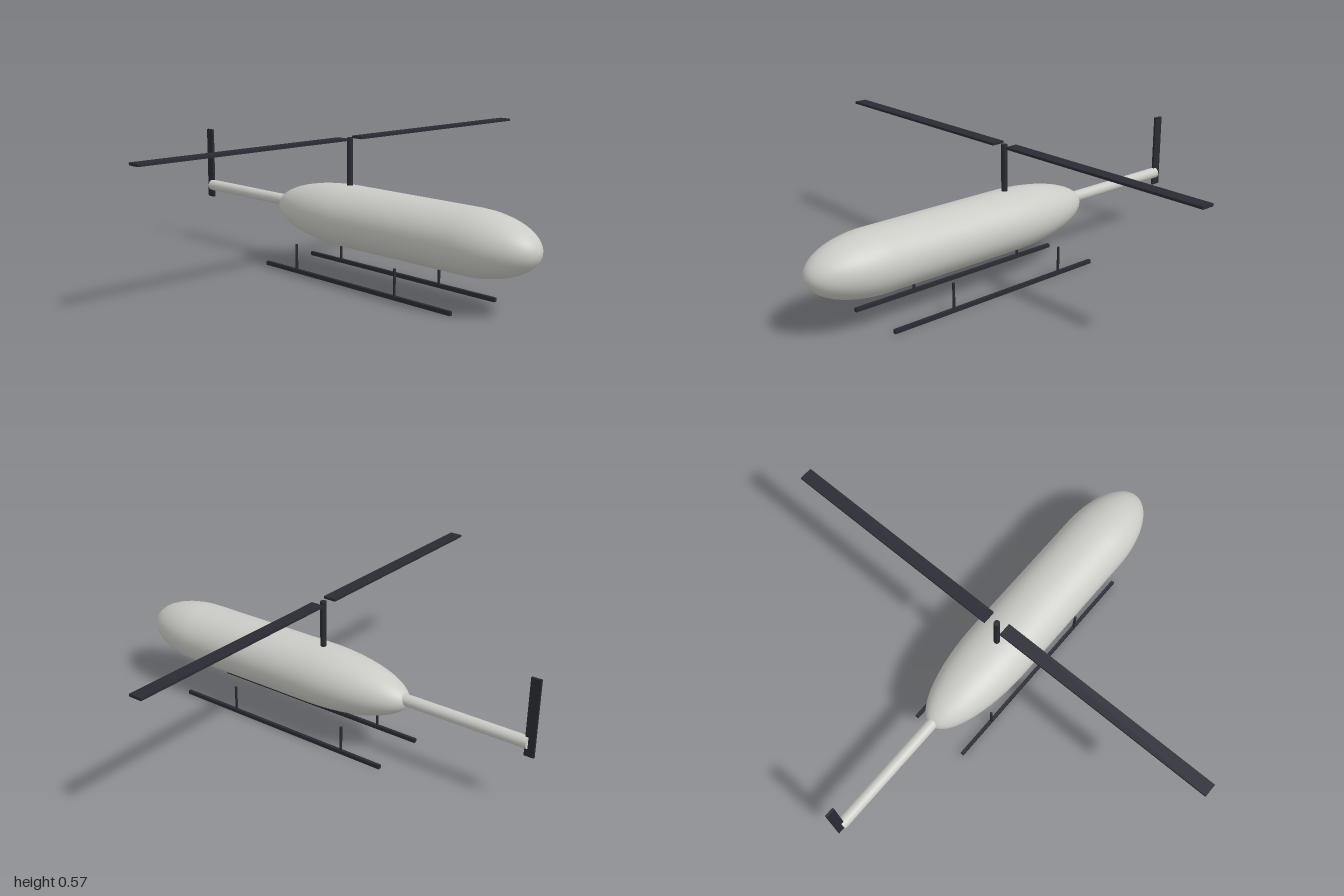
import * as THREE from 'three';

const lightGrey = new THREE.MeshStandardMaterial({ color: 0xcbcbc6 });
lightGrey.name = 'light grey paint';
const darkGrey = new THREE.MeshStandardMaterial({ color: 0x2a2a34 });
darkGrey.name = 'dark grey';

export function createModel() {
  const model = new THREE.Group();
  model.name = 'helicopter';

  const add = (name, geometry, material, x, y, z, parent = model) => {
    const mesh = new THREE.Mesh(geometry, material);
    mesh.name = name;
    mesh.position.set(x, y, z);
    parent.add(mesh);
    return mesh;
  };

  // Fuselage: long tapered tail cap, straight middle, short round nose
  const radius = 0.126, tailStart = 0.03, noseStart = 0.65, tailLength = 0.43, noseLength = 0.29;
  const profile = [];
  for (let i = 0; i <= 16; i++) {
    const a = (i / 16) * Math.PI / 2;
    profile.push(new THREE.Vector2(radius * Math.sin(a), tailStart - tailLength * Math.cos(a)));
  }
  for (let i = 0; i <= 16; i++) {
    const a = (i / 16) * Math.PI / 2;
    profile.push(new THREE.Vector2(radius * Math.cos(a), noseStart + noseLength * Math.sin(a)));
  }
  profile[0].x = profile[profile.length - 1].x = 0;
  const hull = new THREE.LatheGeometry(profile, 48);
  hull.rotateZ(-Math.PI / 2);
  hull.scale(1, 1, 1.145);
  add('fuselage', hull, lightGrey, 0, 0.25, 0);

  // Tail boom and upright tail rotor blade
  const boom = new THREE.CylinderGeometry(0.024, 0.024, 0.56, 24);
  boom.rotateZ(Math.PI / 2);
  add('tailBoom', boom, lightGrey, -0.638, 0.26, 0);
  add('tailRotor', new THREE.BoxGeometry(0.04, 0.315, 0.01), darkGrey, -0.925, 0.363, 0);

  // Mast and main rotor blades
  add('rotorMast', new THREE.CylinderGeometry(0.0125, 0.0125, 0.205, 20), darkGrey, 0.01, 0.4655, 0);
  for (const side of [1, -1]) {
    const label = side > 0 ? 'front' : 'rear';
    add(label + 'RotorBlade', new THREE.BoxGeometry(0.055, 0.01, 0.962), darkGrey, 0.009, 0.565, side * 0.519);

    // Landing skid with two struts
    const gear = new THREE.Group();
    gear.name = label + 'LandingGear';
    model.add(gear);
    add('skid', new THREE.BoxGeometry(1.025, 0.016, 0.014), darkGrey, 0.148, 0.008, side * 0.126, gear);
    for (const x of [-0.175, 0.381]) {
      add('strut', new THREE.CylinderGeometry(0.0055, 0.0055, 0.11, 12), darkGrey, x, 0.066, side * 0.126, gear);
    }
  }
  return model;
}
